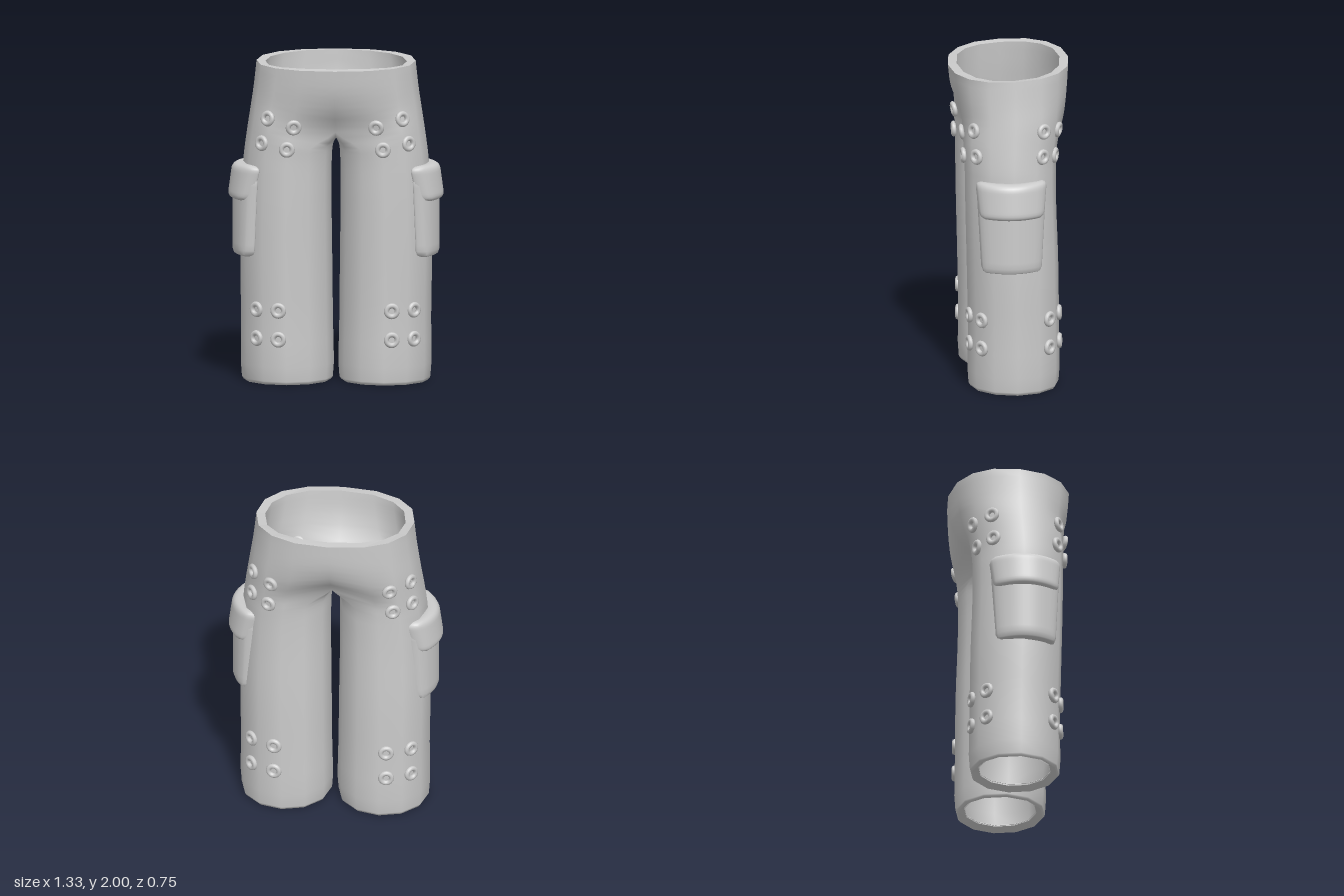
import * as THREE from 'three';
import { mergeVertices } from 'three/addons/utils/BufferGeometryUtils.js';

const material = new THREE.MeshStandardMaterial({ color: 0xcccccc });
const SIDES = 12, FRONT = 4, BACK = 8, SUB = 3, WALL = 0.055;

// Leg rings: y, inner x, outer x, front z, back z
const LEG = [
  [0, 0.034, 0.568, 0.26, -0.272],
  [0.02, 0.02, 0.58, 0.272, -0.285],
  [0.4, 0.02, 0.585, 0.276, -0.287],
  [0.8, 0.024, 0.59, 0.284, -0.282],
  [1.15, 0.028, 0.582, 0.292, -0.27],
  [1.38, 0.026, 0.57, 0.295, -0.268],
  [1.47, 0.018, 0.56, 0.298, -0.272],
  [1.57, 0.01, 0.546, 0.303, -0.287],
];
// Hip rings: y, half width, front z, back z, depth kept at the centre seam, squareness
const HIP = [
  [1.7, 0.526, 0.329, -0.343, 0.88, 0.8],
  [1.83, 0.507, 0.35, -0.363, 1, 0.84],
  [1.985, 0.49, 0.37, -0.375, 1, 0.88],
];
const TOP_LEG = LEG.length - 1;

// Key points of one vertical column of the left half
function columnKeys(i) {
  const a = (i / SIDES) * Math.PI * 2;
  const inner = i > FRONT && i < BACK;
  const keys = LEG.map(([y, x0, x1, zf, zb], k) => {
    const p = new THREE.Vector3((x0 + x1) / 2 + (x1 - x0) / 2 * Math.cos(a), y,
      (zf + zb) / 2 + (zf - zb) / 2 * Math.sin(a));
    if (k === TOP_LEG && i >= FRONT && i <= BACK) {
      const z = (6 - i) * 0.09; // crotch saddle
      p.set(0, 1.505 + 1.8 * z * z, z);
    }
    return p;
  });
  if (inner) return keys;
  const phi = (i <= FRONT ? i : i - SIDES) / FRONT * Math.PI / 2;
  for (const [y, w, zf, zb, seam, power] of HIP) {
    const depth = Math.abs(Math.sin(phi)) ** power;
    const z = depth * (phi > 0 ? zf : zb) * (i === FRONT || i === BACK ? seam : 1);
    const slope = y > 1.9 ? -0.04 * z : 0; // the waist dips at the front
    keys.push(new THREE.Vector3(w * Math.abs(Math.cos(phi)) ** power, y + slope, z));
  }
  return keys;
}

function column(i) {
  const keys = columnKeys(i), curve = new THREE.CatmullRomCurve3(keys);
  const n = (keys.length - 1) * SUB, points = [];
  for (let j = 0; j <= n; j++) {
    const p = curve.getPoint(j / n);
    const onSeam = i >= FRONT && i <= BACK && j >= TOP_LEG * SUB;
    p.x = onSeam ? 0 : Math.max(0, p.x);
    points.push(p);
  }
  return points;
}

function geometryFrom(positions, index) {
  const g = new THREE.BufferGeometry();
  g.setAttribute('position', new THREE.Float32BufferAttribute(positions, 3));
  g.setIndex(index);
  g.computeVertexNormals();
  return g;
}

// Cloth shell: outer skin, lining offset along the normals, and rims
function trouserGeometries() {
  const positions = [], index = [], seen = new Map();
  const vert = (p, s) => {
    const key = [p.x * s, p.y, p.z].map(v => Math.round(v * 1e5)).join();
    if (!seen.has(key)) {
      seen.set(key, positions.length / 3);
      positions.push(p.x * s, p.y, p.z);
    }
    return seen.get(key);
  };
  const columns = Array.from({ length: SIDES }, (_, i) => column(i));
  for (const s of [1, -1]) {
    columns.forEach((c, i) => {
      const d = columns[(i + 1) % SIDES];
      const rows = Math.min(c.length, d.length) - 1;
      for (let j = 0; j < rows; j++) {
        const [a, b, e, f] = [c[j], d[j], c[j + 1], d[j + 1]].map(p => vert(p, s));
        if (s > 0) index.push(a, e, b, b, e, f);
        else index.push(a, b, e, b, f, e);
      }
    });
  }
  const outer = geometryFrom(positions, index);
  const normal = outer.attributes.normal.array;
  const inside = positions.map((v, k) => v - normal[k] * WALL);
  const lining = geometryFrom(inside, index.slice().reverse());

  // Rims join the open edges of skin and lining
  const edges = new Set(), rim = [];
  for (let t = 0; t < index.length; t += 3)
    for (let k = 0; k < 3; k++) edges.add(index[t + k] + '_' + index[t + (k + 1) % 3]);
  const at = (arr, v) => arr.slice(v * 3, v * 3 + 3);
  for (const edge of edges) {
    const [a, b] = edge.split('_').map(Number);
    if (edges.has(b + '_' + a)) continue;
    const A = at(positions, a), B = at(positions, b), C = at(inside, a), D = at(inside, b);
    rim.push(...B, ...A, ...C, ...B, ...C, ...D);
  }
  return { outer, lining, rim: geometryFrom(rim, null) };
}

// Soft pad wrapped round the outside of a leg, tapering and leaning out downwards
function padGeometry(side, { y0, y1, width, taper, lean, depth, outerX, radius }) {
  const h = y1 - y0;
  let g = new THREE.BoxGeometry(depth, h, width, 6, 14, 14);
  g.deleteAttribute('uv');
  g.deleteAttribute('normal');
  g = mergeVertices(g);
  const pos = g.attributes.position, p = new THREE.Vector3(), c = new THREE.Vector3();
  const limit = new THREE.Vector3(depth / 2 - radius, h / 2 - radius, width / 2 - radius);
  for (let i = 0; i < pos.count; i++) {
    p.fromBufferAttribute(pos, i);
    c.copy(p).clamp(limit.clone().negate(), limit);
    p.sub(c);
    if (p.length() > radius) p.setLength(radius);
    p.add(c);
    const down = 0.5 - p.y / h, z = p.z * (1 - taper * down);
    const x = p.x + outerX - depth / 2 - 2.1 * z * z - lean * (1 - down);
    pos.setXYZ(i, side * x, p.y + (y0 + y1) / 2, z + 0.028);
  }
  if (side < 0) g.setIndex(Array.from(g.index.array).reverse());
  g.computeVertexNormals();
  return g;
}

const BAG = { y0: 0.79, y1: 1.3, width: 0.425, taper: 0.13, lean: 0, depth: 0.085, outerX: 0.638, radius: 0.032 };
const FLAP = { y0: 1.137, y1: 1.36, width: 0.442, taper: 0.1, lean: 0.03, depth: 0.1, outerX: 0.668, radius: 0.04 };

// Eyelet groups: axis x, then x, y, z of each eyelet
const EYELETS = {
  frontHipEyelets: [0.22, [0.415, 1.658, 0.25], [0.255, 1.612, 0.3], [0.455, 1.503, 0.24], [0.295, 1.473, 0.295]],
  backHipEyelets: [0.25, [0.505, 1.662, -0.19], [0.375, 1.642, -0.29], [0.515, 1.503, -0.18], [0.395, 1.483, -0.268]],
  frontKneeEyelets: [0.3, [0.35, 0.465, 0.275], [0.49, 0.465, 0.215], [0.35, 0.285, 0.275], [0.49, 0.285, 0.215]],
  backKneeEyelets: [0.3, [0.35, 0.465, -0.295], [0.49, 0.465, -0.205], [0.35, 0.285, -0.295], [0.49, 0.285, -0.205]],
};

export function createModel() {
  const model = new THREE.Group();
  model.name = 'trousers';
  const add = (parent, name, geometry) => {
    const mesh = new THREE.Mesh(geometry, material);
    mesh.name = name;
    parent.add(mesh);
    return mesh;
  };

  const { outer, lining, rim } = trouserGeometries();
  const cloth = add(model, 'trouserCloth', outer);
  add(model, 'lining', lining);
  add(model, 'waistAndHemRims', rim);

  const ring = new THREE.TorusGeometry(0.0335, 0.016, 8, 20);
  const forward = new THREE.Vector3(0, 0, 1), ray = new THREE.Raycaster();
  for (const side of [1, -1]) {
    const label = side > 0 ? 'left' : 'right';

    // Cargo pocket with flap
    const pocket = new THREE.Group();
    pocket.name = label + 'Pocket';
    add(pocket, 'pocketBag', padGeometry(side, BAG));
    add(pocket, 'pocketFlap', padGeometry(side, FLAP));
    model.add(pocket);

    // Eyelets sit on the cloth, with a matching ring on the inside
    for (const [name, [axis, ...spots]] of Object.entries(EYELETS)) {
      const set = new THREE.Group();
      set.name = label + name[0].toUpperCase() + name.slice(1);
      for (const [x, y, z] of spots) {
        const out = new THREE.Vector3(side * (x - axis), 0, z).normalize();
        const p = new THREE.Vector3(side * x, y, z);
        ray.set(p.clone().addScaledVector(out, 0.2), out.clone().negate());
        const [hit] = ray.intersectObject(cloth);
        p.copy(hit.point);
        out.copy(hit.normal).normalize();
        for (const [part, offset] of [['eyelet', 0.008], ['eyeletBack', -WALL - 0.003]]) {
          const mesh = add(set, part, ring);
          mesh.position.copy(p).addScaledVector(out, offset);
          mesh.quaternion.setFromUnitVectors(forward, out);
        }
      }
      model.add(set);
    }
  }
  return model;
}
